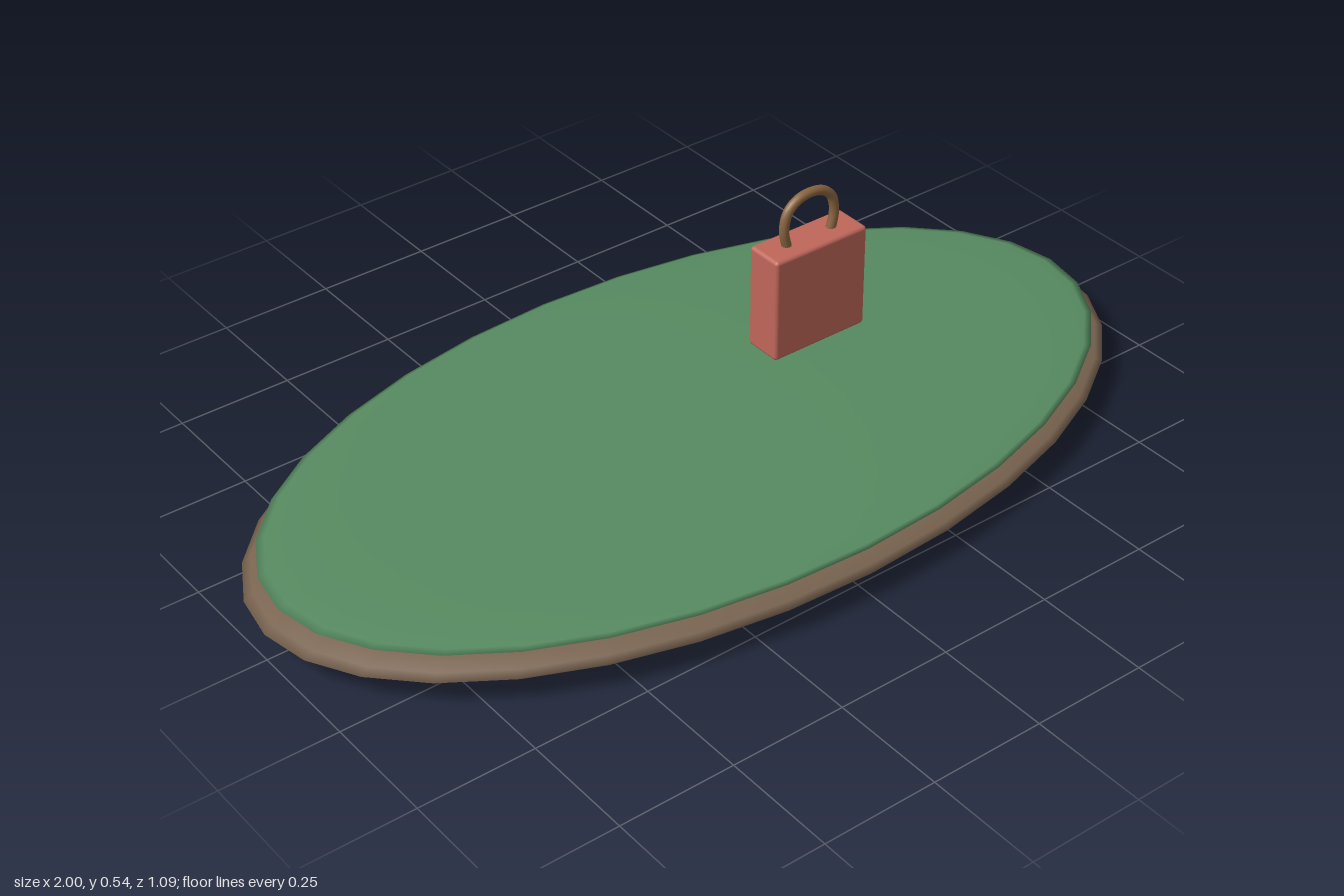
import * as THREE from 'three';
import { RoundedBoxGeometry } from 'three/addons/geometries/RoundedBoxGeometry.js';

function material(name, color) {
  const m = new THREE.MeshStandardMaterial({ color });
  m.name = name;
  return m;
}

export function createModel() {
  const model = new THREE.Group();
  const earth = material('earth brown', 0x7a6450);
  const grass = material('grass green', 0x568a60);
  const red = material('brick red', 0xc0675a);
  const leather = material('leather brown', 0x8a6540);

  const add = (name, geometry, mat, x, y, z = 0) => {
    const mesh = new THREE.Mesh(geometry, mat);
    mesh.name = name;
    mesh.position.set(x, y, z);
    model.add(mesh);
    return mesh;
  };

  // flattened oval discs: soil below, thin grass layer on top
  const disc = (rx, ry, rz) => new THREE.SphereGeometry(1, 32, 16).scale(rx, ry, rz);
  add('soilBase', disc(1, 0.06, 0.545), earth, 0, 0.06);
  add('grassTop', disc(0.968, 0.02, 0.527), grass, 0, 0.104);

  // floating bag body
  const bagX = 0.282;
  add('bagBody', new RoundedBoxGeometry(0.232, 0.232, 0.086, 2, 0.008), red, bagX, 0.311);

  // handle loop, wider in the middle than at its feet
  const half = [[0.054, -0.01], [0.064, 0.038], [0.055, 0.076], [0.031, 0.096]];
  const points = [
    ...half.map(([x, y]) => new THREE.Vector3(-x, y, 0)),
    new THREE.Vector3(0, 0.102, 0),
    ...half.slice().reverse().map(([x, y]) => new THREE.Vector3(x, y, 0)),
  ];
  const loop = new THREE.CatmullRomCurve3(points);
  add('bagHandle', new THREE.TubeGeometry(loop, 32, 0.0105, 10), leather, bagX, 0.425);

  return model;
}
